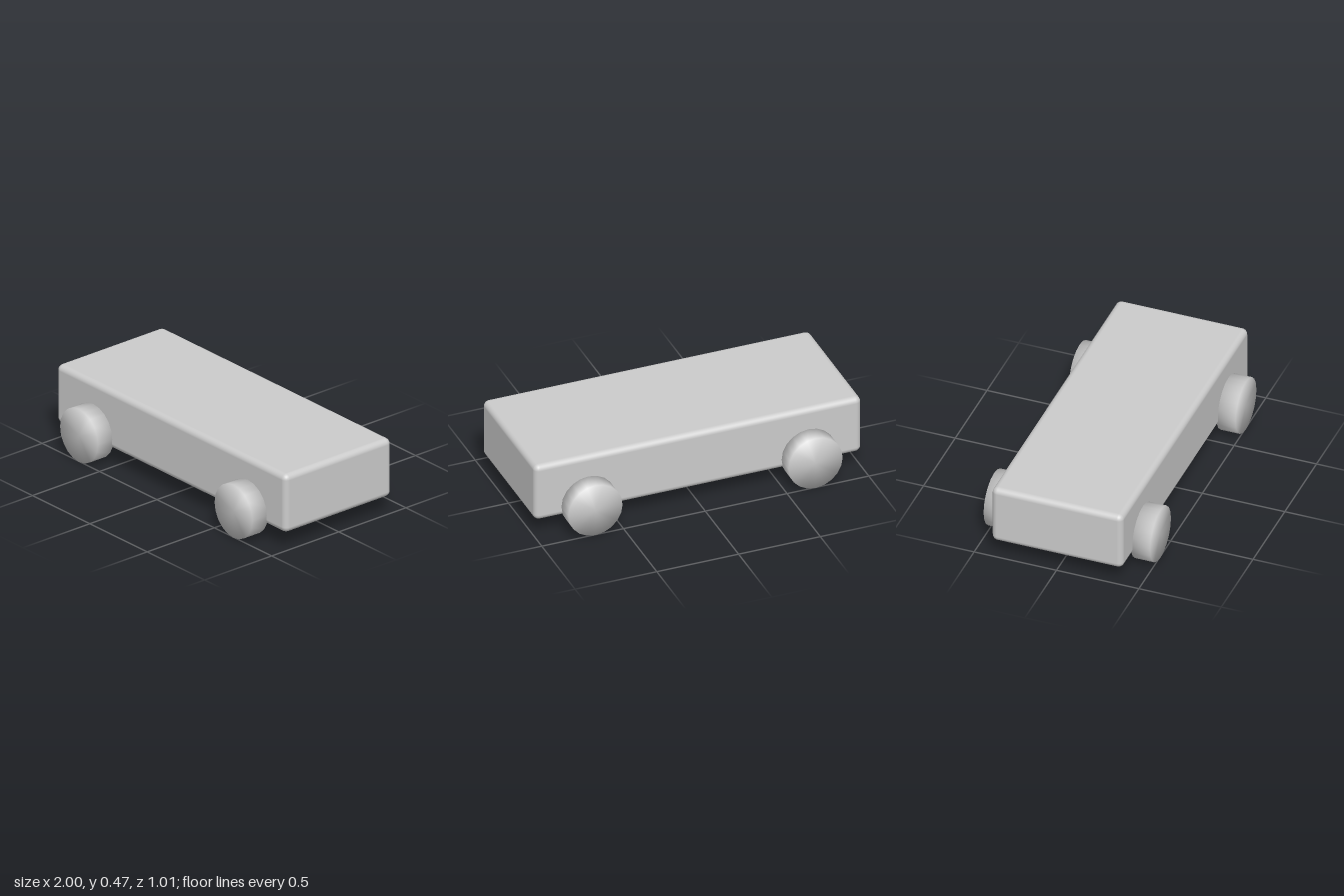
import * as THREE from 'three';
import { RoundedBoxGeometry } from 'three/addons/geometries/RoundedBoxGeometry.js';
import { mergeVertices } from 'three/addons/utils/BufferGeometryUtils.js';

const grey = new THREE.MeshStandardMaterial({ color: 0xcccccc });

// Disc wheel whose rim and faces share smooth normals
function wheelGeometry(radius, width) {
  const cylinder = new THREE.CylinderGeometry(radius, radius, width, 20);
  cylinder.rotateX(Math.PI / 2);
  cylinder.deleteAttribute('normal');
  cylinder.deleteAttribute('uv');
  const welded = mergeVertices(cylinder, 1e-4);
  welded.computeVertexNormals();
  return welded;
}

export function createModel() {
  const model = new THREE.Group();
  model.name = 'wheeledCart';

  // Softly bevelled slab body
  const body = new THREE.Mesh(new RoundedBoxGeometry(2, 0.362, 0.796, 3, 0.035), grey);
  body.name = 'body';
  body.position.y = 0.284;
  model.add(body);

  // Four wheels, set against the long sides
  const geometry = wheelGeometry(0.165, 0.117);
  for (const [xName, x] of [['Left', 0.673], ['Right', -0.673]]) {
    for (const [zName, z] of [['front', 0.4465], ['back', -0.4465]]) {
      const wheel = new THREE.Mesh(geometry, grey);
      wheel.name = `${zName}${xName}Wheel`;
      wheel.position.set(x, 0.165, z);
      model.add(wheel);
    }
  }
  return model;
}
